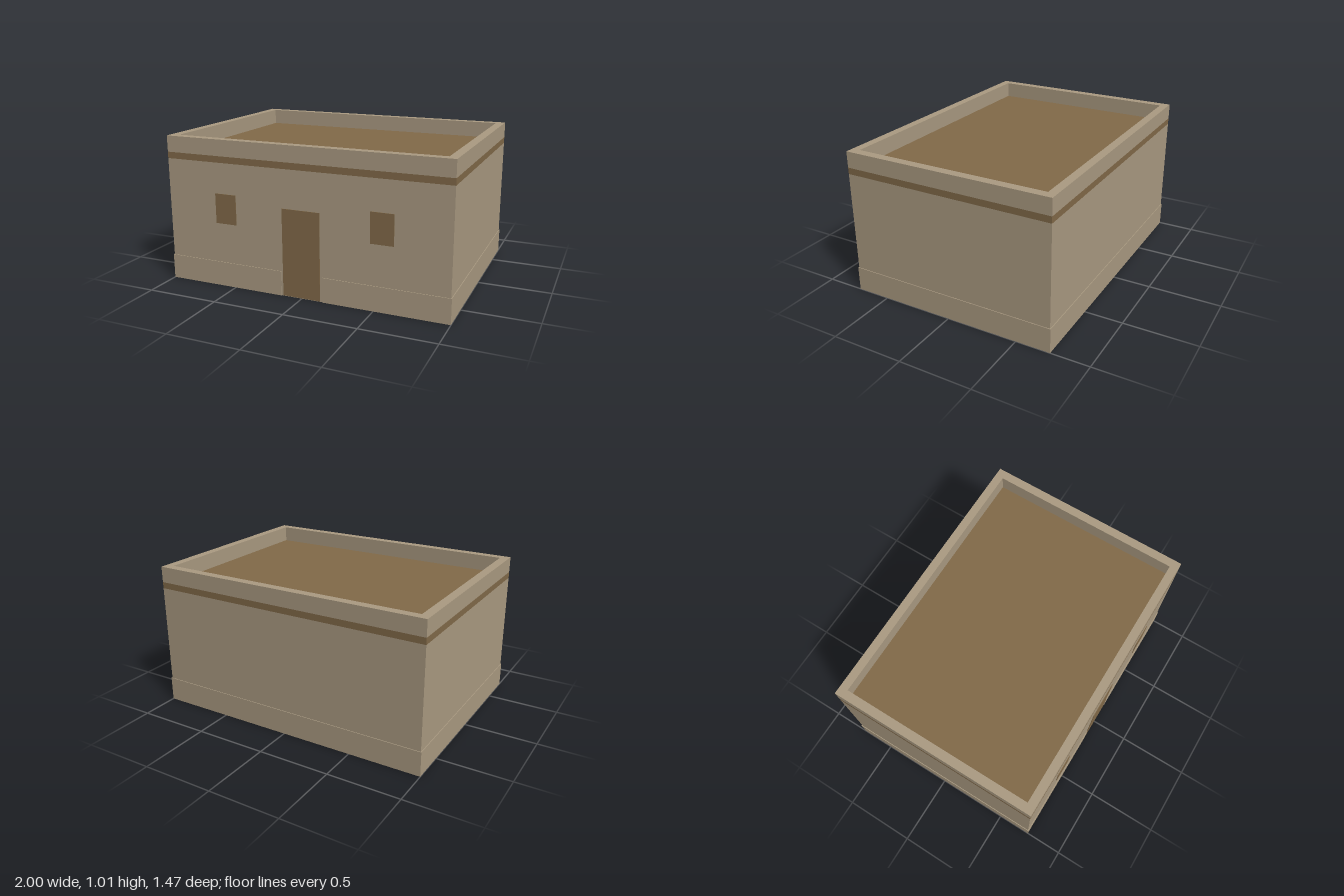
import * as THREE from 'three';

export function createModel() {
  const model = new THREE.Group();
  model.name = 'flatRoofHouse';

  const plaster = new THREE.MeshStandardMaterial({ color: 0xab9b82 });
  plaster.name = 'tan plaster';
  const wood = new THREE.MeshStandardMaterial({ color: 0x826a49 });
  wood.name = 'brown wood';

  // Box given by its minimum and maximum corners
  function box(name, material, [x0, y0, z0], [x1, y1, z1]) {
    const mesh = new THREE.Mesh(new THREE.BoxGeometry(x1 - x0, y1 - y0, z1 - z0), material);
    mesh.position.set((x0 + x1) / 2, (y0 + y1) / 2, (z0 + z1) / 2);
    mesh.name = name;
    model.add(mesh);
  }

  const W = 0.995, D = 0.732;      // half size of the walls
  const PW = 1, PD = 0.737;        // half size of the plinth
  const bandY = 0.86, roofY = 0.904, topY = 1.015;

  // Main walls, and the roof slab whose edge shows as a band
  box('walls', plaster, [-W, 0, -D], [W, bandY, D]);
  box('roofSlab', wood, [-W, bandY, -D], [W, roofY, D]);

  // Parapet: a rectangular ring around the roof
  const rect = (Type, w, d) => new Type([
    new THREE.Vector2(-w, -d), new THREE.Vector2(w, -d),
    new THREE.Vector2(w, d), new THREE.Vector2(-w, d),
  ]);
  const ring = rect(THREE.Shape, W, D);
  ring.holes.push(rect(THREE.Path, 0.935, 0.674));
  const ringGeometry = new THREE.ExtrudeGeometry(ring, { depth: topY - roofY, bevelEnabled: false });
  ringGeometry.rotateX(-Math.PI / 2);
  const parapet = new THREE.Mesh(ringGeometry, plaster);
  parapet.position.y = roofY;
  parapet.name = 'parapet';
  model.add(parapet);

  // Plinth: a low footing around the walls, open at the door
  const gap = 0.147;
  const plinth = new THREE.Shape([
    [gap, D], [gap, PD], [PW, PD], [PW, -PD], [-PW, -PD], [-PW, PD],
    [-gap, PD], [-gap, D], [-W, D], [-W, -D], [W, -D], [W, D],
  ].map(([x, z]) => new THREE.Vector2(x, -z)));
  const plinthGeometry = new THREE.ExtrudeGeometry(plinth, { depth: 0.17, bevelEnabled: false });
  plinthGeometry.rotateX(-Math.PI / 2);
  const plinthMesh = new THREE.Mesh(plinthGeometry, plaster);
  plinthMesh.name = 'plinth';
  model.add(plinthMesh);

  // Door and the two windows, as thin plates on the front
  box('door', wood, [-0.133, 0.004, D], [0.133, 0.6, D + 0.004]);
  box('leftWindow', wood, [0.475, 0.445, D], [0.63, 0.65, D + 0.004]);
  box('rightWindow', wood, [-0.63, 0.445, D], [-0.475, 0.65, D + 0.004]);

  return model;
}
